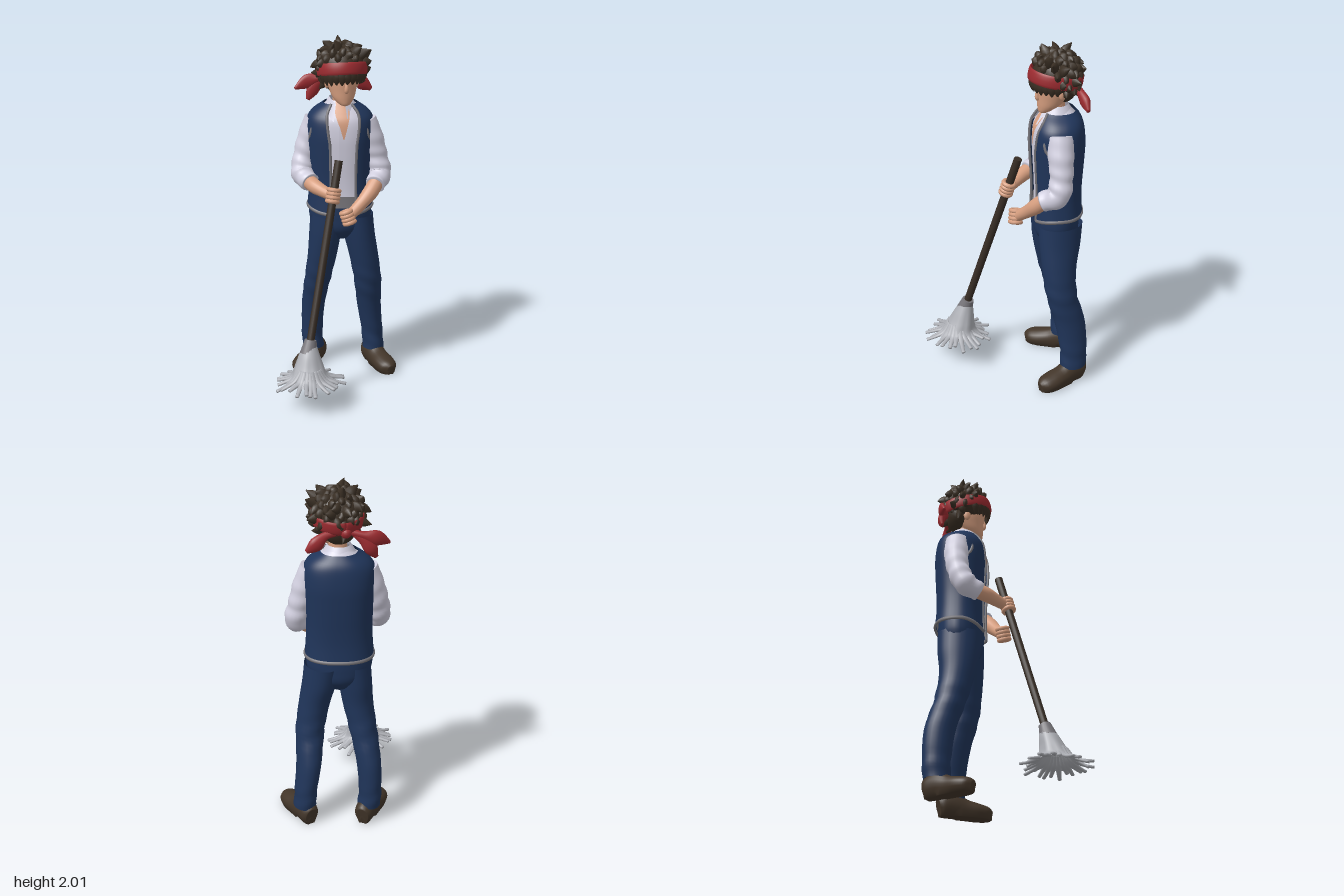
import * as THREE from 'three';
import { mergeGeometries } from 'three/addons/utils/BufferGeometryUtils.js';

const paint = (name, color, side = THREE.DoubleSide) => {
  const m = new THREE.MeshStandardMaterial({ color, side });
  m.name = name;
  return m;
};

// Catmull-Rom blend of every column in a table of cross-sections
function mix(rows, t) {
  const n = rows.length - 1, x = t * n, i = Math.min(Math.floor(x), n - 1), f = x - i;
  const at = k => rows[Math.max(0, Math.min(n, k))];
  return rows[0].map((_, c) => {
    const [a, b, d, e] = [at(i - 1)[c], at(i)[c], at(i + 1)[c], at(i + 2)[c]];
    return b + 0.5 * f * (d - a + f * (2 * a - 5 * b + 4 * d - e + f * (3 * (b - d) + e - a)));
  });
}

// Grid surface from f(u, v); closed wraps u
function grid(f, nu, nv, closed) {
  const pos = [], idx = [], cols = closed ? nu : nu + 1;
  for (let j = 0; j <= nv; j++) for (let i = 0; i < cols; i++) pos.push(...f(i / nu, j / nv, j));
  for (let j = 0; j < nv; j++) for (let i = 0; i < nu; i++) {
    const a = j * cols + i, b = j * cols + (i + 1) % cols;
    idx.push(a, b, a + cols, b, b + cols, a + cols);
  }
  const g = new THREE.BufferGeometry();
  g.setAttribute('position', new THREE.Float32BufferAttribute(pos, 3));
  g.setIndex(idx);
  g.computeVertexNormals();
  return g;
}

// Swept limb with capped ends: rows of [x, y, z, width, height]
function tube(rows, { nu = 14, nv = 24, ref = [0, 1, 0], bump = () => 1 } = {}) {
  const up = new THREE.Vector3(...ref);
  return grid((u, v, j) => {
    const t = Math.min(1, Math.max(0, (j - 1) / (nv - 2)));
    const p = mix(rows, t), q0 = mix(rows, Math.max(0, t - 0.01)), q1 = mix(rows, Math.min(1, t + 0.01));
    const T = new THREE.Vector3(q1[0] - q0[0], q1[1] - q0[1], q1[2] - q0[2]).normalize();
    const A = T.clone().cross(up).normalize(), B = T.clone().cross(A);
    const k = (j === 0 || j === nv ? 0 : 1) * bump(t, u * Math.PI * 2);
    const c = Math.cos(u * Math.PI * 2) * k * Math.max(0, p[3]);
    const s = Math.sin(u * Math.PI * 2) * k * Math.max(0, p[4] ?? p[3]);
    return [0, 1, 2].map(i => p[i] + A.getComponent(i) * c + B.getComponent(i) * s);
  }, nu, nv, true);
}

// Stack of level ellipses: rows of [y, x, z, rx, rz]
const loft = (rows, bump = () => 1, nv = 40) => grid((u, v) => {
  const [y, x, z, rx, rz] = mix(rows, v), a = u * Math.PI * 2, k = bump(y, a);
  return [x + Math.sin(a) * rx * k, y, z + Math.cos(a) * rz * k];
}, 24, nv, true);

export function createModel() {
  const hairM = paint('hair brown', 0x3a2f24), skin = paint('skin', 0xd79f80), red = paint('scarf red', 0x9c2b30);
  const navy = paint('navy cloth', 0x20355a), white = paint('shirt white', 0xd2d0e0), grey = paint('trim grey', 0x77757a);
  const mopM = paint('mop grey', 0xadafb5), leather = paint('shoe brown', 0x43362a), wood = paint('handle brown', 0x372d25);
  const model = new THREE.Group();
  const add = (name, geo, mat, parent = model) => {
    const m = new THREE.Mesh(geo, mat);
    m.name = name;
    parent.add(m);
    return m;
  };
  let seed = 7;
  const rnd = () => (seed = (seed * 16807) % 2147483647) / 2147483647;

  // Trousers
  const folds = (y, a) => 1 + 0.035 * Math.sin(y * 55 + 2 * Math.sin(a)) * (Math.exp(-(((y - 0.55) / 0.1) ** 2)) + Math.exp(-(((y - 0.17) / 0.08) ** 2)));
  add('leftTrouserLeg', loft([[0.1, 0.315, -0.26, 0.064, 0.078], [0.2, 0.31, -0.265, 0.062, 0.08], [0.38, 0.285, -0.25, 0.07, 0.09],
    [0.56, 0.262, -0.205, 0.08, 0.09], [0.72, 0.235, -0.2, 0.085, 0.1], [0.86, 0.208, -0.215, 0.092, 0.12], [0.98, 0.19, -0.225, 0.1, 0.128]], folds), navy);
  add('rightTrouserLeg', loft([[0.1, -0.035, -0.365, 0.064, 0.075], [0.2, -0.04, -0.37, 0.062, 0.078], [0.38, -0.035, -0.355, 0.068, 0.086],
    [0.56, -0.02, -0.3, 0.077, 0.09], [0.72, 0, -0.265, 0.085, 0.1], [0.86, 0.015, -0.255, 0.092, 0.12], [0.98, 0.03, -0.25, 0.1, 0.125]], folds), navy);

  // Shoes, flattened at the ground
  for (const [side, x, z, yaw] of [['left', 0.315, -0.25, 0.22], ['right', -0.03, -0.355, -0.7]]) {
    const g = tube([[0, 0.055, -0.085, 0.036, 0.05], [0, 0.06, -0.06, 0.052, 0.068], [0, 0.065, 0, 0.056, 0.075], [0, 0.05, 0.07, 0.058, 0.058],
      [0, 0.042, 0.14, 0.063, 0.05], [0, 0.036, 0.195, 0.052, 0.042], [0, 0.03, 0.225, 0.02, 0.025]], { nu: 20, nv: 28 });
    const p = g.attributes.position;
    for (let i = 0; i < p.count; i++) p.setY(i, Math.max(0, p.getY(i) < 0.02 ? 0 : p.getY(i)));
    g.computeVertexNormals();
    const shoe = add(side + 'Shoe', g, leather);
    shoe.position.set(x, 0, z);
    shoe.rotation.y = yaw;
  }

  // Torso, turned slightly to the model's right
  const torso = new THREE.Group();
  torso.name = 'torso';
  torso.position.set(0.1, 0, -0.238);
  torso.rotation.y = -0.3;
  model.add(torso);
  const chest = [[1.03, 0, 0, 0.175, 0.13], [1.115, 0, 0, 0.168, 0.124], [1.2, 0, 0, 0.165, 0.125], [1.285, 0, 0, 0.168, 0.13], [1.37, 0, 0, 0.174, 0.135],
    [1.455, 0, 0, 0.18, 0.138], [1.54, 0, 0, 0.176, 0.13], [1.59, 0, -0.005, 0.145, 0.11], [1.63, 0, -0.005, 0.088, 0.08], [1.655, 0, -0.005, 0.06, 0.06]];
  const pw = s => Math.sign(s) * Math.abs(s) ** 0.87;
  const skinOf = (a, v, off) => {
    const [y, x, z, rx, rz] = mix(chest, v);
    return [x + pw(Math.sin(a)) * (rx + off), y + off * 0.4, z + pw(Math.cos(a)) * (rz + off)];
  };
  const patch = (off, v0, v1, a0, a1) => grid((u, w) => {
    const v = v0 + (v1 - v0) * w;
    return skinOf(a0(v) + (a1(v) - a0(v)) * u, v, off);
  }, 40, 30, false);
  add('shirtBody', patch(0, 0.08, 1, () => 0, () => Math.PI * 2), white, torso);
  add('belt', patch(0.006, 0.02, 0.1, () => 0, () => Math.PI * 2), grey, torso);
  add('trouserSeat', loft([[0.84, 0, 0, 0.06, 0.08], [0.9, 0, 0, 0.15, 0.12], [0.97, 0, 0, 0.18, 0.128], [1.07, 0, 0, 0.176, 0.127]]), navy, torso);
  const vNeck = v => 0.42 * Math.max(0, (v - 0.54) / 0.46) ** 0.9;
  add('openNeck', patch(0.005, 0.54, 1, v => 0.12 - vNeck(v), v => 0.12 + vNeck(v)), skin, torso);

  // Vest with open front, drooping front corners and grey edging
  const gap = v => 0.36 + 0.28 * Math.max(0, (v - 0.5) * 2);
  const vestAt = (s, v) => {
    const p = skinOf(s, v, 0.014);
    p[1] -= 0.035 * Math.max(0, Math.cos(s)) ** 2 * Math.max(0, 1 - v * 5);
    return p;
  };
  const edge = (side, v) => 0.15 + (side > 0 ? gap(v) : Math.PI * 2 - gap(v));
  const vEnd = 0.9, span = (u, v) => edge(1, v) + (edge(-1, v) - edge(1, v)) * u;
  add('vest', grid((u, w) => vestAt(span(u, w * vEnd), w * vEnd), 48, 36, false), navy, torso);
  const steps = Array.from({ length: 17 }, (_, i) => i / 16);
  for (const s of [1, -1]) add('vestFrontTrim', tube(steps.map(t => [...vestAt(edge(s, t * vEnd), t * vEnd), 0.008]), { nu: 6, nv: 40, ref: [0, 0, 1] }), grey, torso);
  add('vestHemTrim', tube(steps.map(t => [...vestAt(span(t, 0), 0), 0.007, 0.011]), { nu: 6, nv: 60 }), grey, torso);
  for (const s of [1, -1]) {
    const ring = add('armholeTrim', new THREE.TorusGeometry(0.086, 0.011, 8, 28), grey, torso);
    ring.position.set(s * 0.155, 1.495, 0.004);
    ring.rotation.set(0, Math.PI / 2, s * 0.22, 'ZYX');
    ring.scale.set(1, 1.05, 1);
  }

  // Folded shirt collar with two front points
  add('collar', grid((u, v) => {
    const a = 0.1 + 0.4 + u * (Math.PI * 2 - 0.8), front = Math.max(0, Math.cos(a)) ** 3;
    const r = 0.062 + 0.034 * v;
    return [Math.sin(a) * r, 1.672 - front * 0.03 - v * (0.055 + 0.045 * front), Math.cos(a) * (r + 0.03 * front * v) + 0.005 + front * 0.03];
  }, 36, 6, false), white, torso);

  // Sleeves, forearms and fists
  const creases = (t, a) => 1 + 0.045 * Math.sin(t * 34 + 1.5 * Math.sin(a)) * Math.min(1, t * 2);
  const armX = { ref: [1, 0, 0], nu: 20, nv: 44 };
  add('leftSleeve', tube([[0.225, 1.53, -0.195, 0.078], [0.268, 1.43, -0.18, 0.072], [0.3, 1.32, -0.17, 0.064], [0.312, 1.225, -0.145, 0.066], [0.265, 1.18, -0.075, 0.055]], { ...armX, bump: creases }), white);
  add('rightSleeve', tube([[-0.025, 1.53, -0.275, 0.078], [-0.068, 1.43, -0.285, 0.07], [-0.105, 1.32, -0.275, 0.063], [-0.122, 1.23, -0.235, 0.065], [-0.095, 1.195, -0.155, 0.053]], { ...armX, bump: creases }), white);
  add('leftForearm', tube([[0.275, 1.19, -0.085, 0.044], [0.23, 1.14, -0.055, 0.044], [0.17, 1.085, -0.03, 0.036], [0.1, 1.03, -0.005, 0.031]], armX), skin);
  add('rightForearm', tube([[-0.1, 1.2, -0.17, 0.043], [-0.08, 1.185, -0.11, 0.042], [-0.045, 1.17, -0.05, 0.035], [-0.012, 1.16, 0, 0.03]], armX), skin);

  // Mop handle
  const top = new THREE.Vector3(0.04, 1.35, -0.03), low = new THREE.Vector3(-0.188, 0.34, 0.203);
  const axis = top.clone().sub(low), turn = new THREE.Quaternion().setFromUnitVectors(new THREE.Vector3(0, 1, 0), axis.clone().normalize());
  const along = (name, geo, mat, t) => {
    const m = add(name, geo, mat);
    m.position.copy(low).addScaledVector(axis, t);
    m.quaternion.copy(turn);
  };
  along('mopHandle', new THREE.CylinderGeometry(0.023, 0.022, axis.length(), 14), wood, 0.5);
  along('mopSocket', new THREE.CylinderGeometry(0.034, 0.05, 0.08, 18), grey, 0);

  for (const [side, x, y, z, tilt] of [['right', -0.004, 1.16, 0.016, null], ['left', 0.085, 1.022, 0.003, 1]]) {
    const hand = new THREE.Group();
    hand.name = side + 'Hand';
    hand.position.set(x, y, z);
    hand.quaternion.copy(turn);
    if (tilt) hand.rotateZ(0.5);
    model.add(hand);
    add('palm', new THREE.SphereGeometry(0.04, 16, 12), skin, hand).scale.set(0.95, 1.1, 0.95);
    for (let i = 0; i < 4; i++) {
      const finger = add('finger', new THREE.TorusGeometry(0.03, 0.013, 8, 18), skin, hand);
      finger.rotation.x = Math.PI / 2;
      finger.position.y = (i - 1.5) * 0.021;
    }
  }

  // Mop head: draped dome and splayed strands
  const dome = [[0.16, -0.2, 0.25, 0.135, 0.125], [0.19, -0.2, 0.246, 0.1, 0.095], [0.24, -0.197, 0.232, 0.08, 0.072], [0.3, -0.193, 0.216, 0.058, 0.056], [0.345, -0.187, 0.205, 0.04, 0.04]];
  add('mopDome', loft(dome, (y, a) => 1 + 0.06 * Math.sin(a * 8) * Math.min(1, (0.345 - y) * 8)), mopM);
  const strands = [];
  for (let i = 0; i < 26; i++) {
    const a = (i + rnd() * 0.5) / 26 * Math.PI * 2, r = 0.165 + rnd() * 0.05, dy = rnd() * 0.03, b = a + (rnd() - 0.5) * 0.2;
    const at = (q, y, w, h, ang = a) => [-0.2 + Math.sin(ang) * q, y, 0.252 + Math.cos(ang) * q * 0.94, w, h];
    strands.push(tube([at(0.06, 0.23, 0.016, 0.01), at(0.1, 0.178, 0.018, 0.01), at(0.145, 0.15 + dy * 0.6, 0.013, 0.009, (a + b) / 2), at(r, 0.132 + dy, 0.011, 0.008, b)], { nu: 8, nv: 14 }));
  }
  add('mopStrands', mergeGeometries(strands), mopM);

  // Head
  const hx = 0.105, hz = -0.215;
  add('neck', tube([[0.1, 1.56, -0.245, 0.056], [0.103, 1.63, -0.23, 0.05], [hx, 1.72, -0.22, 0.052]], { ref: [0, 0, 1] }), skin);
  add('face', loft([[1.632, hx, hz + 0.07, 0.006, 0.006], [1.642, hx, hz + 0.062, 0.03, 0.03], [1.675, hx, hz + 0.035, 0.06, 0.063], [1.72, hx, hz + 0.013, 0.077, 0.088],
    [1.77, hx, hz, 0.088, 0.105], [1.84, hx, hz, 0.09, 0.108], [1.92, hx, hz, 0.06, 0.07]]), skin);
  add('nose', tube([[hx, 1.775, hz + 0.096, 0.007], [hx, 1.745, hz + 0.104, 0.011], [hx, 1.722, hz + 0.102, 0.013, 0.01], [hx, 1.713, hz + 0.09, 0.008]], { nu: 10, nv: 12, ref: [0, 0, 1] }), skin);
  for (const s of [1, -1]) {
    const ear = add('ear', new THREE.SphereGeometry(0.03, 12, 10), skin);
    ear.scale.set(0.4, 1.1, 0.7);
    ear.position.set(hx + s * 0.088, 1.755, hz - 0.005);
  }

  // Hair: cap, nape, tousled spikes and fringe
  const cap = add('hairCap', new THREE.SphereGeometry(1, 24, 18), hairM);
  cap.scale.set(0.133, 0.122, 0.127);
  cap.position.set(hx, 1.85, -0.225);
  const nape = add('hairNape', new THREE.SphereGeometry(1, 18, 14), hairM);
  nape.scale.set(0.098, 0.1, 0.075);
  nape.position.set(hx, 1.78, -0.262);
  const spikes = [], R = [0.13, 0.12, 0.125], C = [hx, 1.85, -0.222];
  for (let i = 0; i < 100; i++) {
    const y = 1 - 1.8 * (i + 0.5) / 100, q = Math.sqrt(1 - y * y), a = i * 2.39996;
    const d = [Math.sin(a) * q, y, Math.cos(a) * q];
    if ((d[2] > 0.4 && y < 0.42) || (d[2] > 0 && y < -0.25)) continue;
    const at = (k, lean, r) => [...d.map((c, n) => C[n] + c * R[n] * k + lean[n]), r, r * 0.7];
    const lean = [(rnd() - 0.5) * 0.07, (rnd() - 0.65) * 0.05, (rnd() - 0.5) * 0.06];
    spikes.push(tube([at(0.8, [0, 0, 0], 0.038), at(1.08, lean.map(l => l * 0.3), 0.028), at(1.2 + rnd() * 0.1, lean, 0.002)], { nu: 7, nv: 9, ref: [-d[2] + 0.01, 0, d[0]] }));
  }
  for (let i = -5; i <= 5; i++) {
    const a = i * 0.25, at = (r, y, w) => [hx + Math.sin(a) * r, y, hz + Math.cos(a) * r, w, w * 0.45];
    spikes.push(tube([at(0.118, 1.86, 0.03), at(0.13, 1.805, 0.028), at(0.122, 1.752 + rnd() * 0.015, 0.004)], { nu: 8, nv: 10, ref: [Math.sin(a), 0, Math.cos(a)] }));
  }
  add('hairSpikes', mergeGeometries(spikes), hairM);

  // Headband and its tied ends
  const band = add('headband', tube(Array.from({ length: 25 }, (_, i) => {
    const a = Math.PI * (1 + i / 12);
    return [Math.sin(a) * 0.137, 0, Math.cos(a) * 0.145, 0.008, 0.036];
  }), { nu: 10, nv: 60 }), red);
  band.position.set(hx, 1.83, hz - 0.005);
  band.rotation.x = -0.2;
  const cloth = { nu: 12, nv: 20, ref: [0, 0, 1] };
  const tails = [
    [[0.08, 1.775, -0.335, 0.018, 0.015], [0.01, 1.755, -0.36, 0.022, 0.02], [-0.06, 1.735, -0.375, 0.042, 0.02], [-0.135, 1.7, -0.365, 0.008, 0.008]],
    [[0.06, 1.77, -0.34, 0.016, 0.015], [0.005, 1.73, -0.365, 0.03, 0.018], [-0.03, 1.68, -0.375, 0.036, 0.02], [-0.06, 1.63, -0.37, 0.012, 0.008]],
    [[0.12, 1.775, -0.33, 0.018, 0.015], [0.2, 1.76, -0.32, 0.022, 0.02], [0.255, 1.72, -0.325, 0.04, 0.025], [0.305, 1.685, -0.32, 0.012, 0.01]],
  ];
  for (const t of tails) add('scarfTail', tube(t, cloth), red);
  const knot = add('scarfKnot', new THREE.SphereGeometry(0.03, 12, 10), red);
  knot.position.set(0.1, 1.775, -0.35);
  return model;
}
